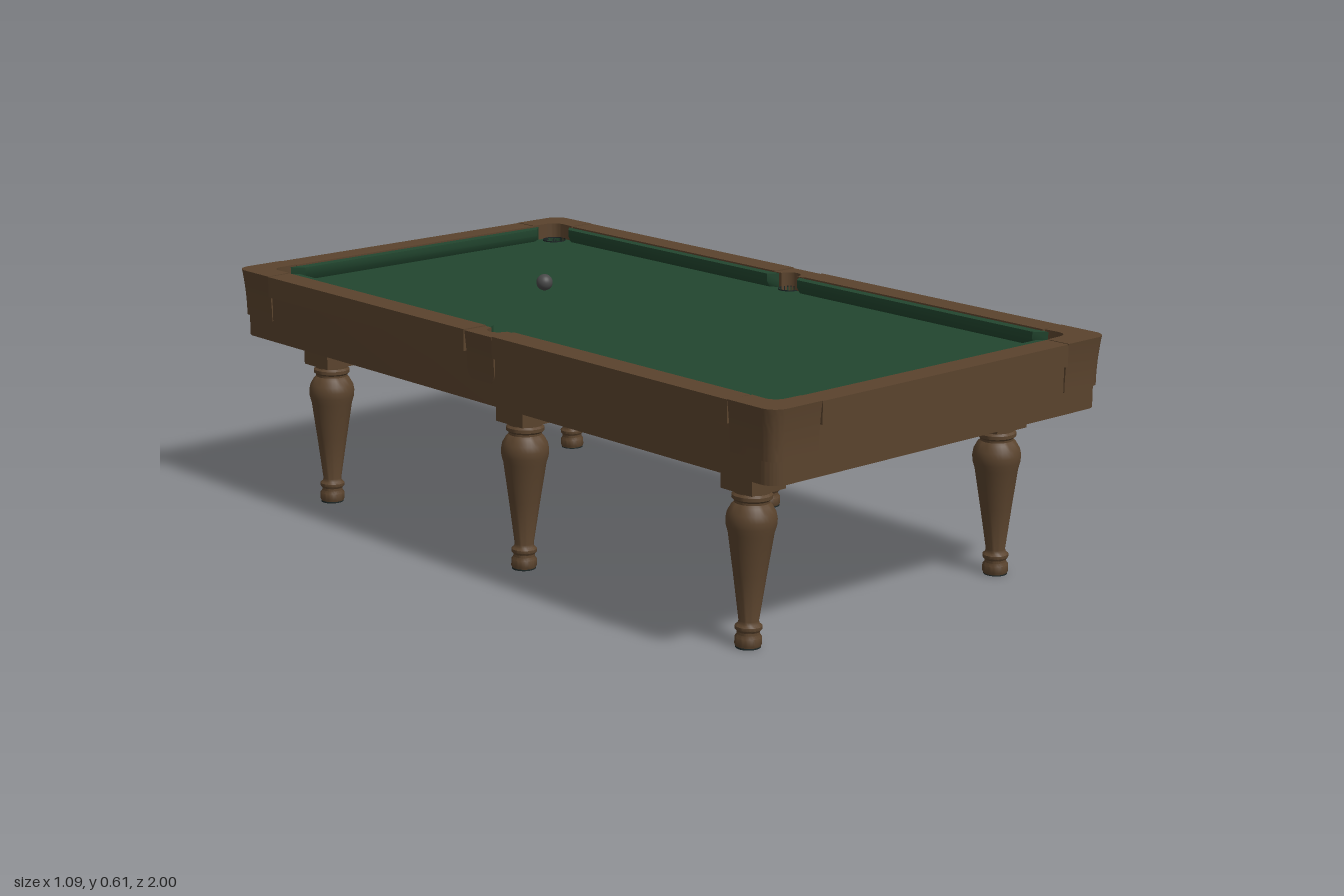
import * as THREE from 'three';
import { toCreasedNormals } from 'three/addons/utils/BufferGeometryUtils.js';

const material = (name, color, side = THREE.FrontSide) => {
  const m = new THREE.MeshStandardMaterial({ color, side });
  m.name = name;
  return m;
};

// Shape in plan: coordinates are (x, -z)
const roundedRect = (hx, hz, r) => {
  const s = new THREE.Shape();
  s.absarc(hx - r, hz - r, r, 0, Math.PI / 2);
  s.absarc(-hx + r, hz - r, r, Math.PI / 2, Math.PI);
  s.absarc(-hx + r, -hz + r, r, Math.PI, Math.PI * 1.5);
  s.absarc(hx - r, -hz + r, r, Math.PI * 1.5, Math.PI * 2);
  s.closePath();
  return s;
};

// Points on a circular arc, [x, z]
const arc = (cx, cz, r, a0, a1, n = 10) =>
  Array.from({ length: n + 1 }, (_, i) => {
    const a = a0 + ((a1 - a0) * i) / n;
    return [cx + r * Math.cos(a), cz + r * Math.sin(a)];
  });

// Plan points in the +x +z quarter, mirrored by signs
const planShape = (pts, sx, sz) =>
  new THREE.Shape(pts.map(([x, z]) => new THREE.Vector2(x * sx, -z * sz)));

// Vertical extrusion of a plan shape, with an optional rule moving |x|, |z| by height
function plate(shape, y0, y1, rule, steps = 1) {
  const g = new THREE.ExtrudeGeometry(shape, { depth: y1 - y0, steps, bevelEnabled: false, curveSegments: 12 });
  g.rotateX(-Math.PI / 2);
  g.translate(0, y0, 0);
  if (rule) {
    const p = g.attributes.position;
    for (let i = 0; i < p.count; i++) {
      const x = p.getX(i), y = p.getY(i), z = p.getZ(i);
      const [nx, nz] = rule(Math.abs(x), y, Math.abs(z));
      p.setXYZ(i, Math.sign(x) * nx, y, Math.sign(z) * nz);
    }
  }
  return toCreasedNormals(g, 0.6);
}

export function createModel() {
  const wood = material('wood', 0x5a432d);
  const cloth = material('cloth', 0x22462f);
  const dark = material('dark lining', 0x1c2626, THREE.DoubleSide);
  const under = material('underside', 0x202423);
  const grey = material('ball grey', 0x484848);

  const model = new THREE.Group();
  model.name = 'billiardTable';
  const add = (name, geometry, mat, parent = model) => {
    const m = new THREE.Mesh(geometry, mat);
    m.name = name;
    parent.add(m);
    return m;
  };
  const sides = [1, -1];

  // Pocket centres and radii: [x, z, r]
  const pockets = [];
  for (const sx of sides) for (const z of [-0.9, 0, 0.9])
    pockets.push([sx * (z ? 0.445 : 0.477), z, z ? 0.032 : 0.029]);

  // Apron frame
  const apron = roundedRect(0.531, 0.988, 0.04);
  apron.holes.push(roundedRect(0.507, 0.964, 0.02));
  add('apron', plate(apron, 0.432, 0.552), wood);

  // Bed and underside panel, both pierced by the pockets
  const bed = roundedRect(0.515, 0.97, 0.03);
  for (const [x, z, r] of pockets) {
    const hole = new THREE.Path();
    hole.absarc(x, -z, r, 0, Math.PI * 2);
    bed.holes.push(hole);
  }
  add('clothBed', plate(bed, 0.54, 0.563), cloth);
  add('undersidePanel', plate(bed, 0.525, 0.5395), under);

  // Pocket cups
  for (const [x, z, r] of pockets) {
    const cup = new THREE.LatheGeometry(
      [[0, 0.45], [r * 0.75, 0.452], [r, 0.475], [r, 0.566]].map(([a, b]) => new THREE.Vector2(a, b)), 24);
    add('pocketCup', cup, dark).position.set(x, 0, z);
  }

  // Rails between the castings
  const box = (x0, x1, y0, y1, z0, z1) =>
    new THREE.BoxGeometry(x1 - x0, y1 - y0, z1 - z0).translate((x0 + x1) / 2, (y0 + y1) / 2, (z0 + z1) / 2);
  for (const s of sides) {
    add('endRail', box(-0.399, 0.399, 0.55, 0.603, s > 0 ? 0.935 : -1, s > 0 ? 1 : -0.935), wood);
    for (const t of sides)
      add('sideRail', box(s > 0 ? 0.475 : -0.543, s > 0 ? 0.543 : -0.475, 0.55, 0.603,
        t > 0 ? 0.053 : -0.855, t > 0 ? 0.855 : -0.053), wood);
  }

  // Castings: flared outward towards the top
  const flare = (y) => {
    const t = Math.min(1, Math.max(0, (0.604 - y) / 0.118));
    return 0.009 * (1 - (1 - t) ** 2);
  };
  const outward = (v, inner, outer) => Math.max(0, (v - inner) / (outer - inner));
  const cornerRule = (x, y, z) =>
    [x - flare(y) * outward(x, 0.475, 0.543), z - flare(y) * outward(z, 0.935, 1)];
  const middleRule = (x, y, z) => {
    const pinch = y < 0.51 ? 1 - 0.25 * ((0.51 - y) / 0.024) ** 2 : 1;
    return [x - flare(y) * outward(x, 0.505, 0.543), z * pinch];
  };
  const cornerPlan = [[0.4, 0.935], [0.4, 1], ...arc(0.503, 0.96, 0.04, Math.PI / 2, 0),
    [0.543, 0.855], [0.475, 0.862], ...arc(0.445, 0.902, 0.032, 0, Math.PI / 2), [0.41, 0.935]];
  const middlePlan = [[0.476, -0.05], [0.543, -0.05], [0.543, 0.05], [0.476, 0.05],
    ...arc(0.477, 0, 0.029, Math.PI / 2, -Math.PI / 2)];
  for (const sx of sides) {
    for (const sz of sides)
      add('cornerCasting', plate(planShape(cornerPlan, sx, sz), 0.486, 0.604, cornerRule, 8), wood);
    add('middleCasting', plate(planShape(middlePlan, sx, 1), 0.486, 0.601, middleRule, 10), wood);
  }

  // Cushions with mitred ends and an undercut nose
  const sidePlan = [[0.478, 0.036], [0.478, 0.875], [0.45, 0.845], [0.45, 0.055]];
  const endPlan = [[-0.42, 0.938], [0.42, 0.938], [0.39, 0.908], [-0.39, 0.908]];
  const underX = (x, y, z) => [y < 0.58 && x < 0.46 ? x + 0.012 : x, z];
  const underZ = (x, y, z) => [x, y < 0.58 && z < 0.92 ? z + 0.012 : z];
  for (const s of sides) {
    for (const t of sides) add('sideCushion', plate(planShape(sidePlan, s, t), 0.562, 0.599, underX, 2), cloth);
    add('endCushion', plate(planShape(endPlan, 1, s), 0.562, 0.599, underZ, 2), cloth);
  }

  // Turned legs, leaning slightly outwards under square blocks
  const profile = [[0, 0.003], [0.029, 0.003], [0.031, 0.008], [0.031, 0.024], [0.026, 0.031], [0.026, 0.037],
    [0.031, 0.043], [0.031, 0.05], [0.025, 0.055], [0.023, 0.062], [0.038, 0.17], [0.052, 0.265], [0.057, 0.282],
    [0.058, 0.298], [0.055, 0.313], [0.046, 0.329], [0.04, 0.335], [0.04, 0.34], [0.046, 0.345],
    [0.046, 0.353], [0.041, 0.358], [0.041, 0.37]].map(([r, y]) => new THREE.Vector2(r, y));
  const legGeometry = toCreasedNormals(new THREE.LatheGeometry(profile, 32), 0.7);
  const padGeometry = new THREE.CylinderGeometry(0.029, 0.029, 0.004, 32).translate(0, 0.002, 0);
  for (const sx of sides) for (const z of [-0.787, 0, 0.787]) {
    const leg = new THREE.Group();
    leg.name = 'leg';
    leg.position.set(sx * 0.41, 0, z);
    model.add(leg);
    const turned = add('turnedLeg', legGeometry, wood, leg);
    turned.rotation.z = sx * 0.025;
    add('footPad', padGeometry, dark, leg);
    const block = add('legBlock', new THREE.BoxGeometry(0.104, 0.165, 0.1), wood, leg);
    block.position.set(-sx * 0.012, 0.4475, 0);
  }

  // Ball
  add('ball', new THREE.SphereGeometry(0.021, 24, 16), grey).position.set(0, 0.584, -0.407);

  return model;
}
